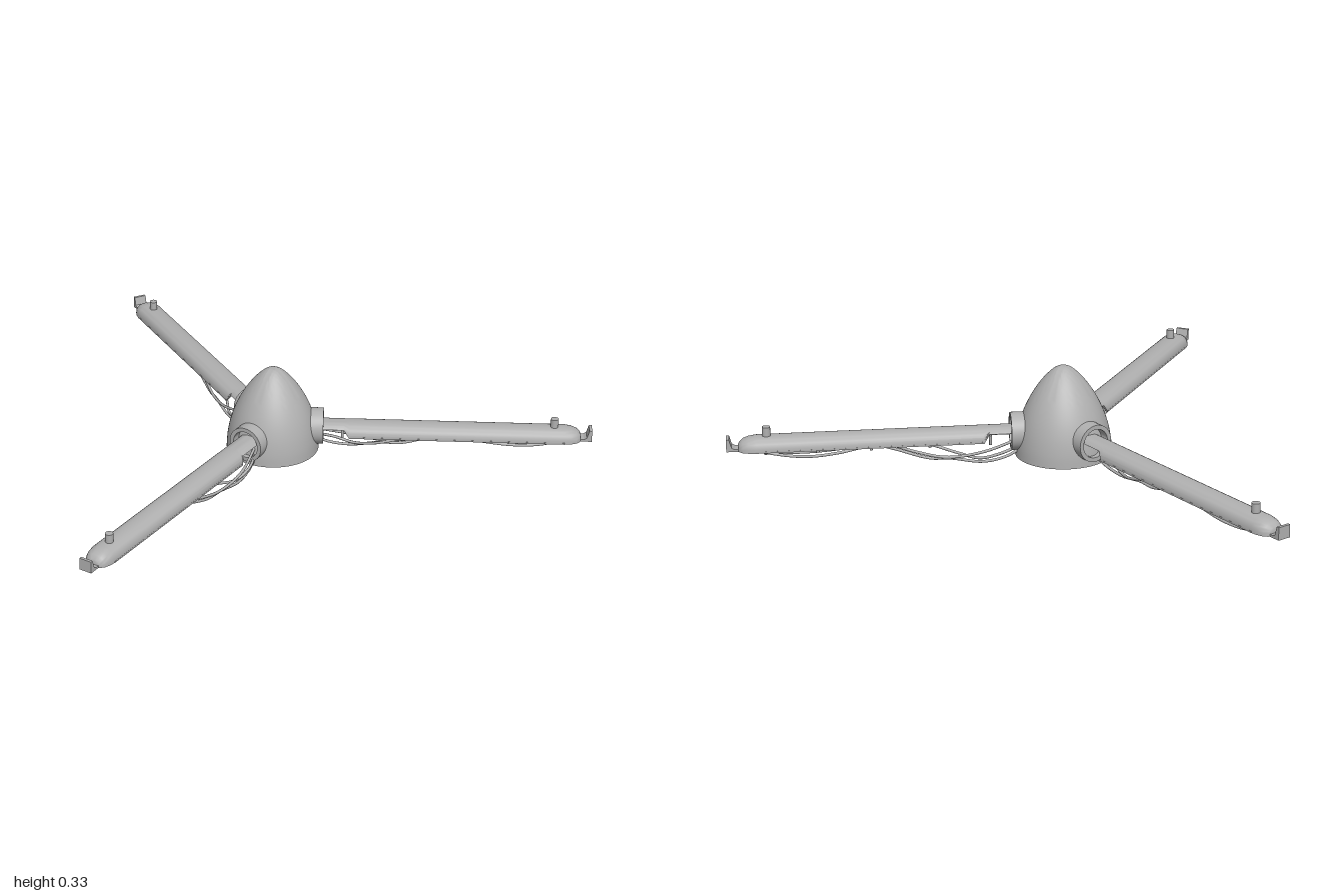
import * as THREE from 'three';
import { toCreasedNormals } from 'three/addons/utils/BufferGeometryUtils.js';

const grey = new THREE.MeshStandardMaterial({ color: 0xb0b0b0 });
grey.name = 'plainGrey';

function add(parent, name, geometry, x = 0, y = 0, z = 0) {
  const mesh = new THREE.Mesh(geometry, grey);
  mesh.name = name;
  mesh.position.set(x, y, z);
  parent.add(mesh);
  return mesh;
}

const BASE = 0.076; // underside of an arm

// Hollow arm shell, open below: [distance from hub, scale, start angle of the arc]
function armShell() {
  const stations = [
    [0.14, 1, 0.62], [0.255, 1, 0.62], [0.275, 1, 0], [1.04, 1, 0],
    [1.065, 0.93, 0], [1.085, 0.78, 0], [1.097, 0.55, 0], [1.1, 0.42, 0], [1.1, 0, 0],
  ];
  const n = 16, pos = [], index = [];
  const arc = (w, h, a) => [
    w * Math.sign(Math.cos(a)) * Math.abs(Math.cos(a)) ** 0.82,
    h * Math.max(0, Math.sin(a)) ** 0.82,
  ];
  for (const [z, s, start] of stations) {
    const angle = (i) => start + (Math.PI - 2 * start) * i / n;
    for (let i = 0; i <= n; i++) {
      const [x, y] = arc(0.05 * s, 0.046 * s, angle(i));
      pos.push(x, BASE + y, z);
    }
    for (let i = n; i >= 0; i--) {
      const [x, y] = arc(0.043 * s, 0.04 * s, angle(i));
      pos.push(x, BASE + y, z);
    }
  }
  const ring = 2 * (n + 1);
  for (let k = 0; k < stations.length - 1; k++) {
    for (let j = 0; j < ring; j++) {
      const a = k * ring + j, b = k * ring + (j + 1) % ring;
      index.push(a, b, a + ring, b, b + ring, a + ring);
    }
  }
  const g = new THREE.BufferGeometry();
  g.setAttribute('position', new THREE.Float32BufferAttribute(pos, 3));
  g.setIndex(index);
  return toCreasedNormals(g, 0.6);
}

// Hanging cables, points are [x, y, distance from hub]
const cables = [
  [[0, 0.078, 1.06], [0.005, 0.06, 1.0], [0.012, 0.044, 0.88], [0.008, 0.05, 0.77], [0, 0.075, 0.64]],
  [[-0.01, 0.078, 1.04], [-0.012, 0.056, 0.97], [-0.015, 0.05, 0.87], [-0.01, 0.06, 0.74], [0, 0.08, 0.6]],
  [[0, 0.078, 0.66], [0.015, 0.06, 0.58], [0.025, 0.024, 0.46], [0.03, 0.022, 0.39],
    [0.035, 0.007, 0.28], [0.03, 0.02, 0.2], [0.02, 0.05, 0.14]],
  [[0, 0.078, 0.52], [-0.01, 0.058, 0.45], [0.005, 0.03, 0.36], [0.03, 0.018, 0.29],
    [0.04, 0.035, 0.22], [0.02, 0.06, 0.14]],
  [[0.01, 0.078, 0.6], [0.02, 0.045, 0.5], [0.035, 0.028, 0.4], [0.045, 0.045, 0.28], [0.02, 0.08, 0.15]],
];

function makeArm() {
  const arm = new THREE.Group();
  arm.name = 'arm';
  add(arm, 'armShell', armShell());

  // Lengthwise rails inside the channel
  for (const x of [-0.025, 0, 0.025]) {
    add(arm, 'innerRail', new THREE.BoxGeometry(0.008, 0.018, 0.76), x, 0.092, 0.67);
  }
  // Thin lip along each lower edge
  for (const x of [-0.047, 0.047]) {
    add(arm, 'edgeLip', new THREE.BoxGeometry(0.006, 0.006, 0.765), x, 0.079, 0.66);
  }

  // Socket collar where the arm enters the hub
  const collar = [[0.05, 0.1], [0.065, 0.1], [0.065, 0.182], [0.05, 0.182], [0.05, 0.1]]
    .map(([r, y]) => new THREE.Vector2(r, y));
  const socket = toCreasedNormals(new THREE.LatheGeometry(collar, 40), 0.6);
  add(arm, 'socketCollar', socket.rotateX(Math.PI / 2), 0, 0.1, 0);

  // Peg on the upper side
  add(arm, 'topPeg', new THREE.CylinderGeometry(0.014, 0.014, 0.04, 20), 0, 0.133, 1.005);

  // Upturned hook at the end
  const hook = new THREE.Shape();
  [[1.07, 0.076], [1.14, 0.076], [1.14, 0.119], [1.13, 0.119], [1.122, 0.09], [1.112, 0.084], [1.07, 0.084]]
    .forEach(([z, y], i) => (i ? hook.lineTo(-z, y) : hook.moveTo(-z, y)));
  const hookGeometry = new THREE.ExtrudeGeometry(hook, { depth: 0.046, bevelEnabled: false });
  hookGeometry.translate(0, 0, -0.023).rotateY(Math.PI / 2);
  add(arm, 'endHook', hookGeometry);

  // Cable clips under the arm
  for (const z of [1.01, 0.835, 0.655, 0.457, 0.25]) {
    add(arm, 'cableClip', new THREE.CylinderGeometry(0.005, 0.005, 0.034, 10), 0, 0.07, z);
  }
  for (const points of cables) {
    const curve = new THREE.CatmullRomCurve3(points.map((p) => new THREE.Vector3(...p)));
    add(arm, 'cable', new THREE.TubeGeometry(curve, 48, 0.005, 8));
  }
  return arm;
}

export function createModel() {
  const model = new THREE.Group();
  model.name = 'threeArmedRotor';
  const rotor = new THREE.Group();
  rotor.name = 'rotor';
  rotor.position.z = -0.28;
  model.add(rotor);

  // Pointed hub with a flat base
  const curve = new THREE.SplineCurve([
    [0.166, 0.015], [0.163, 0.06], [0.153, 0.115], [0.135, 0.17], [0.108, 0.225],
    [0.074, 0.275], [0.04, 0.311], [0.018, 0.325], [0, 0.329],
  ].map((p) => new THREE.Vector2(...p)));
  const profile = [new THREE.Vector2(0, 0.015), ...curve.getPoints(32)];
  profile[profile.length - 1].x = 0;
  add(rotor, 'hub', toCreasedNormals(new THREE.LatheGeometry(profile, 64), 0.7));

  for (let i = 0; i < 3; i++) {
    const arm = makeArm();
    arm.rotation.y = (i * Math.PI * 2) / 3;
    rotor.add(arm);
  }
  return model;
}
